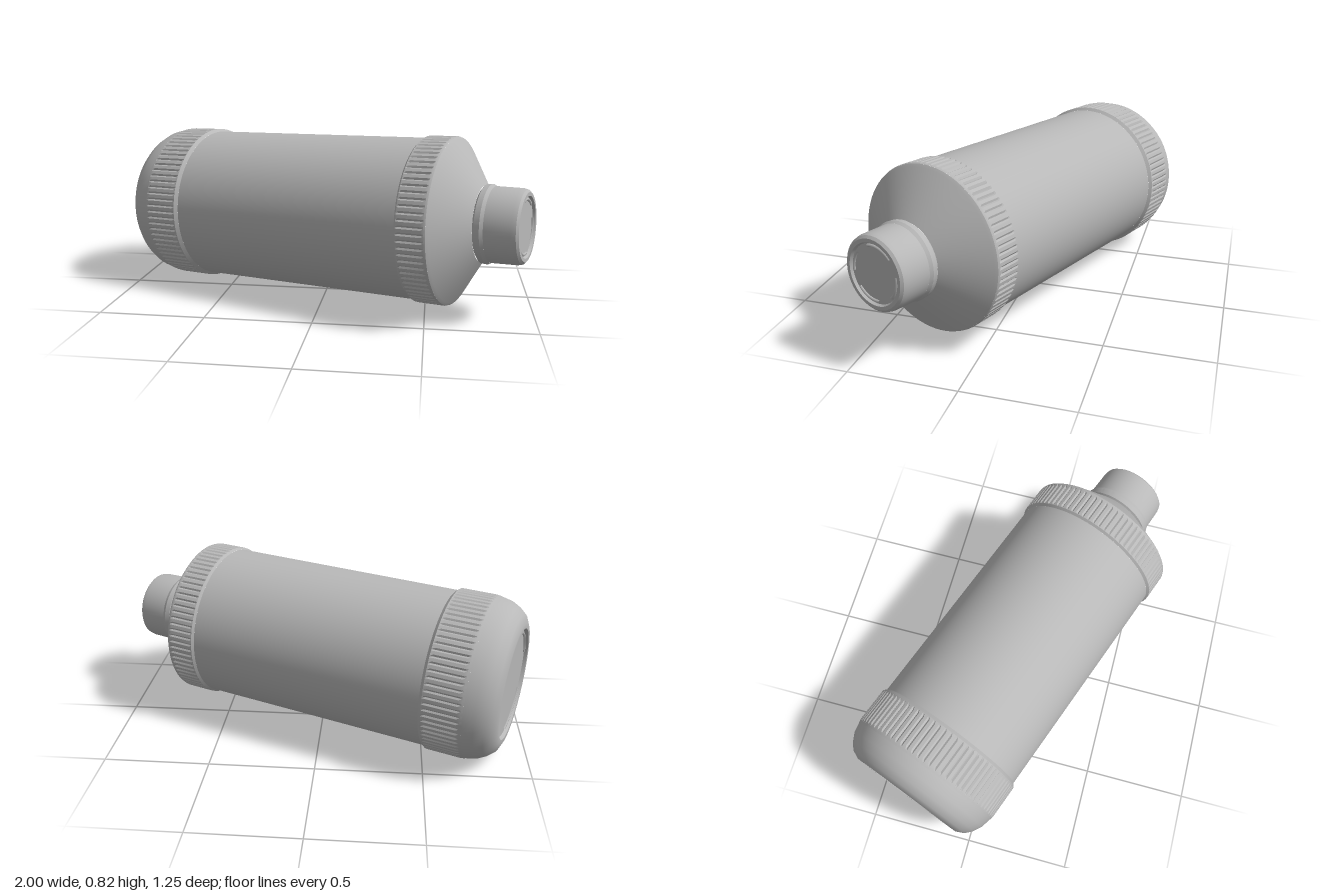
import * as THREE from 'three';
import { toCreasedNormals } from 'three/addons/utils/BufferGeometryUtils.js';

const grey = new THREE.MeshStandardMaterial({ color: 0xb8b8b8 });
grey.name = 'plain grey';

// Turned part from [radius, height] pairs, running from the base upwards
function turned(name, profile, segments = 96) {
  const points = profile.map(([r, h]) => new THREE.Vector2(r, h));
  const mesh = new THREE.Mesh(toCreasedNormals(new THREE.LatheGeometry(points, segments), 0.5), grey);
  mesh.name = name;
  return mesh;
}

// Turned band with fine grip ribs that fade out at both ends
function ribbedBand(name, profile, ribs, depth) {
  const geo = new THREE.LatheGeometry(profile.map(([r, h]) => new THREE.Vector2(r, h)), ribs * 4);
  const pos = geo.attributes.position;
  const rows = profile.length;
  for (let i = 0; i < pos.count; i++) {
    const row = i % rows;
    const column = Math.floor(i / rows) % 4;
    if (row < 2 || row > rows - 3 || column !== 0) continue;
    const k = 1 - depth / Math.hypot(pos.getX(i), pos.getZ(i));
    pos.setX(i, pos.getX(i) * k);
    pos.setZ(i, pos.getZ(i) * k);
  }
  const mesh = new THREE.Mesh(toCreasedNormals(geo, 0.5), grey);
  mesh.name = name;
  return mesh;
}

// Raised arcs moulded on an end face
function arcRidges(name, radius, tube, height, arcs) {
  const group = new THREE.Group();
  group.name = name;
  for (const [start, length] of arcs) {
    const ridge = new THREE.Mesh(new THREE.TorusGeometry(radius, tube, 6, 24, length), grey);
    ridge.name = 'ridge';
    ridge.rotation.set(Math.PI / 2, 0, start);
    ridge.position.y = height;
    group.add(ridge);
  }
  return group;
}

export function createModel() {
  const bottle = new THREE.Group();
  bottle.name = 'bottle';

  // Rounded base with a shallow recessed disc
  bottle.add(turned('base', [
    [0, -0.94], [0.255, -0.94], [0.262, -0.956], [0.285, -0.956],
    [0.325, -0.938], [0.352, -0.907], [0.373, -0.868], [0.384, -0.82],
  ]));
  bottle.add(arcRidges('baseRidges', 0.24, 0.007, -0.941, [[0.3, 1.1], [2.2, 0.9], [3.9, 1.2]]));

  // Ribbed bands at both ends of the body
  bottle.add(ribbedBand('lowerBand', [
    [0.384, -0.82], [0.387, -0.81], [0.389, -0.795], [0.389, -0.65], [0.389, -0.635], [0.376, -0.62],
  ], 80, 0.006));
  bottle.add(ribbedBand('upperBand', [
    [0.376, 0.535], [0.386, 0.545], [0.387, 0.555], [0.387, 0.66], [0.387, 0.672], [0.384, 0.68],
  ], 80, 0.006));

  // Plain cylindrical body
  bottle.add(turned('body', [[0.376, -0.62], [0.376, 0.535]]));

  // Conical shoulder
  bottle.add(turned('shoulder', [[0.384, 0.68], [0.372, 0.69], [0.172, 0.812]]));

  // Neck and cap with a slightly sunken top
  bottle.add(turned('neck', [[0.165, 0.81], [0.178, 0.82], [0.18, 0.845], [0.172, 0.86]]));
  bottle.add(turned('cap', [
    [0.172, 0.86], [0.17, 0.98], [0.165, 1.0], [0.154, 1.01],
    [0.138, 1.01], [0.132, 0.998], [0, 0.998],
  ], 64));
  bottle.add(arcRidges('capRidges', 0.122, 0.007, 0.998, [[0.2, 1.0], [1.8, 0.8], [3.2, 1.1], [4.9, 0.9]]));

  // Lay the bottle down along its slightly raised, turned axis
  const axis = new THREE.Vector3(0.937, 0.031, 0.347).normalize();
  bottle.quaternion.setFromUnitVectors(new THREE.Vector3(0, 1, 0), axis);
  bottle.position.set(-0.009, 0.415, 0.023);

  const model = new THREE.Group();
  model.name = 'model';
  model.add(bottle);
  return model;
}
